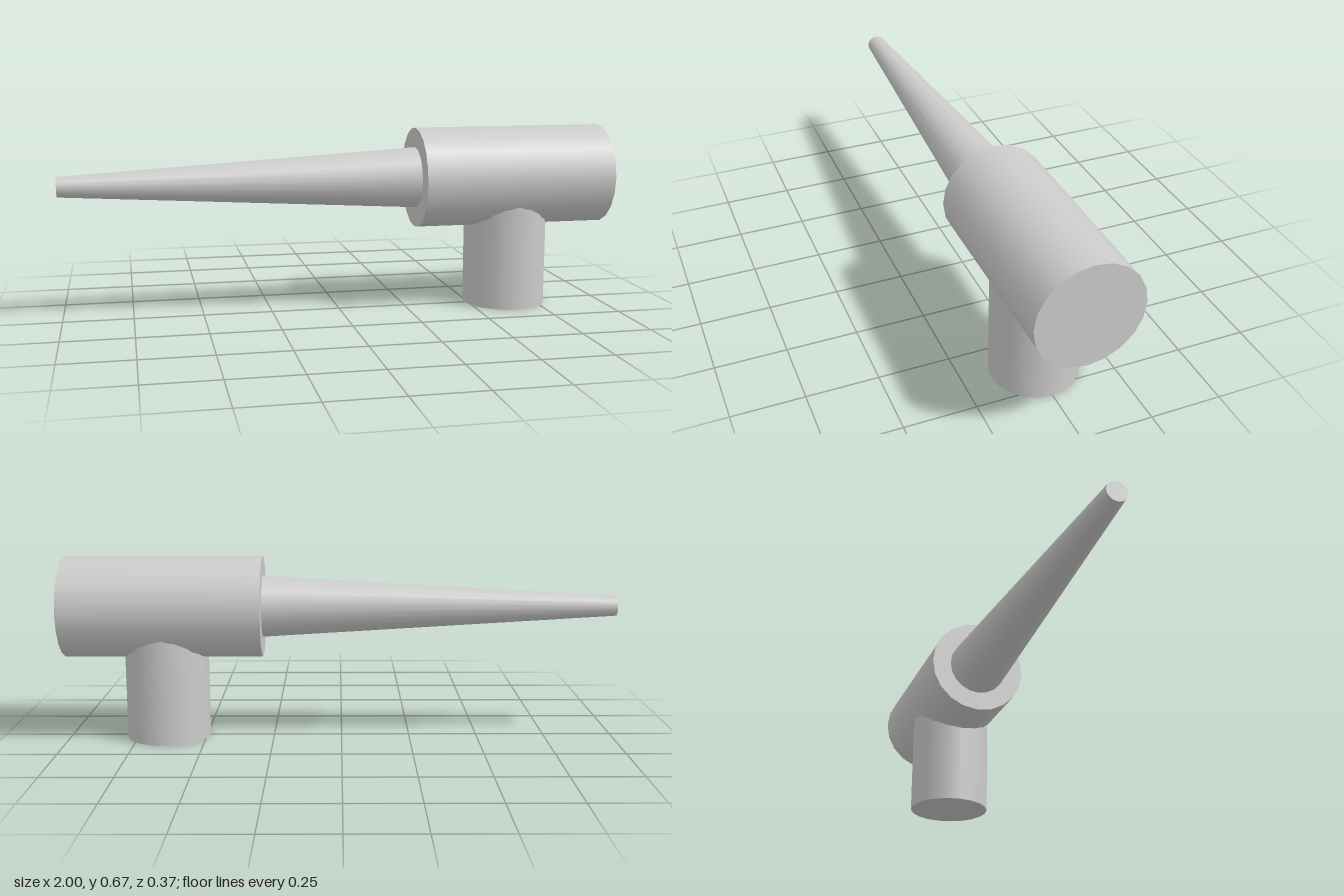
import * as THREE from 'three';

const SIDES = 20;
const AXIS_Y = 0.484;

export function createModel() {
  const group = new THREE.Group();
  const material = new THREE.MeshStandardMaterial({ color: 0xcccccc });

  const add = (name, geometry, x, y) => {
    const mesh = new THREE.Mesh(geometry, material);
    mesh.name = name;
    mesh.position.set(x, y, 0);
    group.add(mesh);
  };

  // Round bar lying along x between two ends, each with its own radius
  const addBar = (name, x0, r0, x1, r1) => {
    const geometry = new THREE.CylinderGeometry(r1, r0, x1 - x0, SIDES);
    geometry.rotateZ(-Math.PI / 2);
    add(name, geometry, (x0 + x1) / 2, AXIS_Y);
  };

  // Wide horizontal barrel and the long tapered spike leaving its end
  addBar('barrel', 0.286, 0.184, 1, 0.184);
  addBar('taperedSpike', -1, 0.036, 0.286, 0.112);

  // Upright stem, running up into the middle of the barrel
  add('stem', new THREE.CylinderGeometry(0.153, 0.153, AXIS_Y, SIDES), 0.64, AXIS_Y / 2);

  return group;
}
